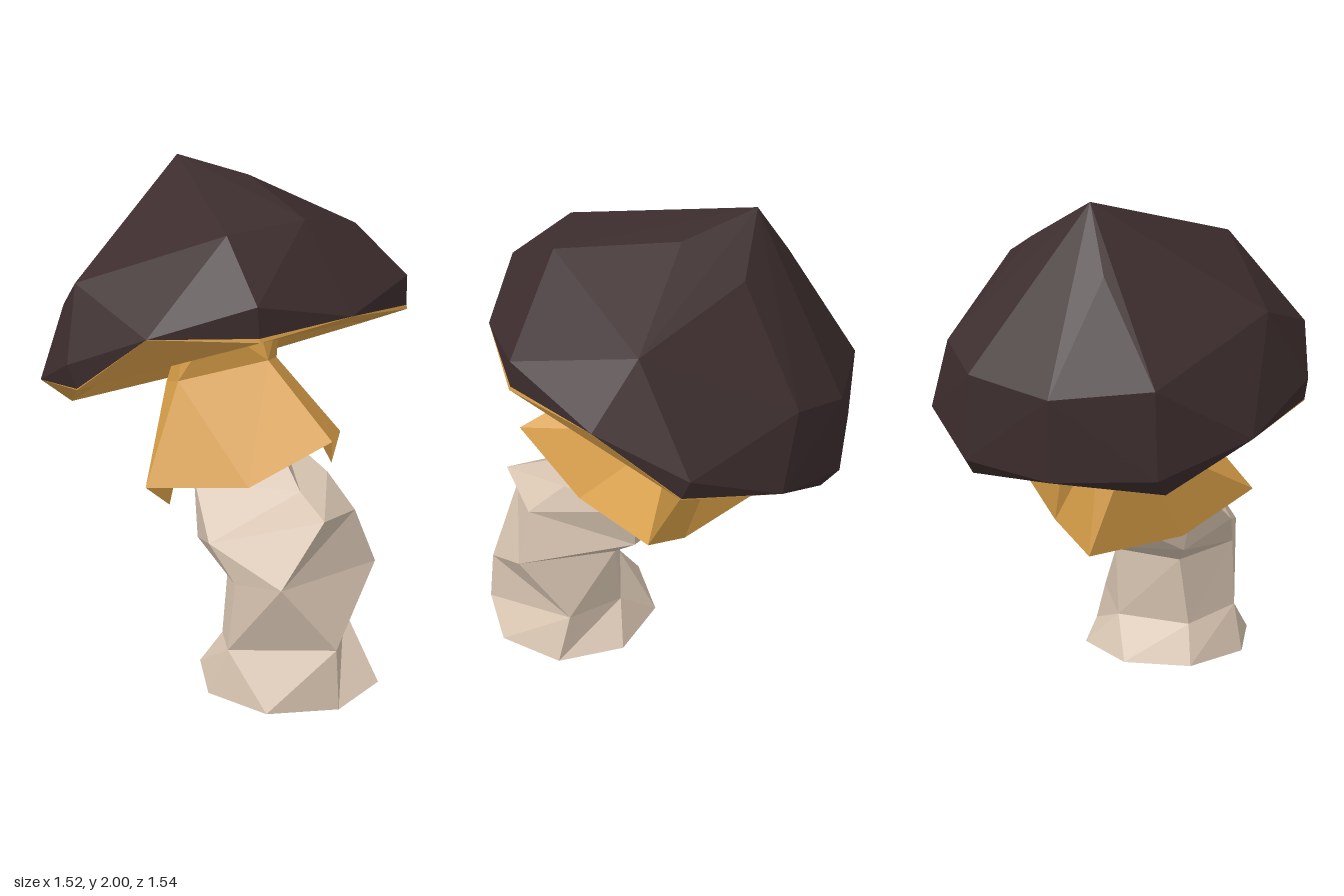
import * as THREE from 'three';
import { ConvexGeometry } from 'three/addons/geometries/ConvexGeometry.js';

const capBrown = new THREE.MeshStandardMaterial({ color: 0x3c2c2d, flatShading: true });
capBrown.name = 'cap brown';
const gillGold = new THREE.MeshStandardMaterial({ color: 0xd69d47, flatShading: true, side: THREE.DoubleSide });
gillGold.name = 'gill gold';
const stemBeige = new THREE.MeshStandardMaterial({ color: 0xd5c2af, flatShading: true, side: THREE.DoubleSide });
stemBeige.name = 'stem beige';

function facetMesh(name, pos, material) {
  const geo = new THREE.BufferGeometry();
  geo.setAttribute('position', new THREE.Float32BufferAttribute(pos, 3));
  geo.computeVertexNormals();
  const mesh = new THREE.Mesh(geo, material);
  mesh.name = name;
  return mesh;
}

// Joins rings of points (of any count, listed from +x towards +z) into facets.
function loft(name, rings, material) {
  const pos = [];
  const tri = (...corners) => {
    const [a, b, c] = corners.map((p) => new THREE.Vector3(...p));
    if (b.clone().sub(a).cross(c.clone().sub(a)).length() > 1e-6) corners.forEach((p) => pos.push(...p));
  };
  for (let r = 0; r + 1 < rings.length; r++) {
    const a = rings[r], b = rings[r + 1];
    const na = a.length > 1 ? a.length : 0, nb = b.length > 1 ? b.length : 0;
    let i = 0, j = 0;
    while (i < na || j < nb) {
      const pa = a[i % a.length], pb = b[j % b.length];
      const stepA = i < na && (j >= nb || (i + 1) / na <= (j + 1) / nb);
      if (stepA) tri(pa, pb, a[++i % a.length]);
      else tri(pa, pb, b[++j % b.length]);
    }
  }
  return facetMesh(name, pos, material);
}

// Convex shell over the points, left open where a face uses only rim points.
function openShell(name, points, rim, material) {
  const hull = new ConvexGeometry([...points, ...rim].map((p) => new THREE.Vector3(...p)));
  const src = hull.getAttribute('position').array;
  const key = (p) => Array.from(p, (v) => Math.round(v * 1000)).join();
  const rimKeys = new Set(rim.map(key));
  const pos = [];
  for (let f = 0; f < src.length; f += 9) {
    const onRim = [0, 3, 6].every((k) => rimKeys.has(key(src.slice(f + k, f + k + 3))));
    if (!onRim) pos.push(...src.slice(f, f + 9));
  }
  return facetMesh(name, pos, material);
}

// Elliptical ring whose +x side is raised by rise and -x side lowered by it.
function ring(n, [cx, cy, cz], rx, rz, rise = 0, offset = 0) {
  return Array.from({ length: n }, (_, i) => {
    const t = offset + (i / n) * Math.PI * 2;
    return [cx + rx * Math.cos(t), cy + rise * Math.cos(t), cz + rz * Math.sin(t)];
  });
}

// Completes a half ring running from +x to -x by mirroring it in z.
const mirrored = (half) => [...half, ...half.slice(1, -1).reverse().map(([x, y, z]) => [x, y, -z])];

export function createModel() {
  const model = new THREE.Group();
  model.name = 'mushroom';

  // Cap: zigzag rim, widest points, uneven shoulder and off-centre peak
  const rim = mirrored([
    [0.66, 1.53, 0], [0.575, 1.495, 0.375], [0.285, 1.48, 0.66], [-0.03, 1.24, 0.75],
    [-0.41, 1.17, 0.66], [-0.6, 0.98, 0.39], [-0.765, 1.03, 0],
  ]);
  const dome = [
    [0.57, 1.61, 0.38], [0.57, 1.61, -0.38], [-0.06, 1.33, 0.77], [-0.06, 1.33, -0.77],
    [-0.66, 1.38, 0.37], [-0.66, 1.38, -0.37], [-0.67, 1.05, 0.385], [-0.67, 1.05, -0.385], [-0.77, 1.34, 0],
    [0.4, 1.85, 0], [0.33, 1.82, 0.32], [-0.18, 1.6, 0.64], [-0.5, 1.75, 0.11],
    [-0.47, 1.46, -0.55], [0.11, 1.72, -0.55], [-0.29, 1.85, -0.27], [-0.07, 1.94, -0.13], [-0.36, 2, 0],
  ];
  model.add(openShell('cap', dome, rim, capBrown));

  // Gills: hollow underside ending just under every second rim point
  const rimFromOdd = [...rim.slice(1), rim[0]];
  const gillEdge = mirrored([[0.58, 1.48, 0.375], [-0.03, 1.235, 0.75], [-0.59, 0.98, 0.39]])
    .slice(0, 3).concat([[-0.59, 0.98, -0.39], [-0.03, 1.235, -0.75], [0.58, 1.48, -0.375]]);
  const gillInner = ring(6, [-0.05, 1.33, 0], 0.43, 0.5, 0.14);
  model.add(loft('gills', [[[-0.08, 1.42, 0]], gillInner, gillEdge, rimFromOdd], gillGold));

  // Skirt: flared collar with a pointed hem
  const hem = mirrored([
    [0.57, 1.02, 0], [0.34, 0.82, 0.22], [0.08, 0.82, 0.52], [-0.08, 0.64, 0.28], [-0.39, 0.62, 0],
  ]);
  const collar = mirrored([[0.2, 1.26, 0], [-0.04, 1.17, 0.26], [-0.27, 1.09, 0.14], [-0.28, 1.08, 0]]);
  const neck = mirrored([[0.12, 1.44, 0], [0.08, 1.41, 0.17], [-0.04, 1.33, 0.23], [-0.19, 1.32, 0.12], [-0.22, 1.3, 0]]);
  model.add(loft('skirt', [hem, collar, neck], gillGold));

  // Stem: bent column of uneven rings, open at the foot and domed under the skirt
  model.add(loft('stem', [
    ring(8, [0.39, 0, 0.05], 0.37, 0.37, 0, 0.175),
    [[0.73, 0.24, 0.11], [0.38, 0.19, 0.36], [0.18, 0.15, 0.22], [0.18, 0.15, -0.1], [0.4, 0.19, -0.25]],
    [[0.61, 0.5, 0.29], [0.4, 0.47, 0.34], [0.17, 0.44, 0.18], [0.2, 0.44, -0.12], [0.6, 0.48, -0.22]],
    [[0.64, 0.74, 0.1], [0.28, 0.61, 0.37], [0.05, 0.53, 0.24], [-0.08, 0.56, 0.02], [0.12, 0.56, -0.22], [0.55, 0.7, -0.15]],
    [[0.46, 0.8, 0.06], [0.08, 0.8, 0.28], [-0.1, 0.64, 0.12], [-0.1, 0.66, -0.1], [0.12, 0.76, -0.25], [0.4, 0.82, -0.14]],
    [[0.32, 0.93, 0.04], [0.1, 0.92, 0.15], [-0.05, 0.86, 0], [0.12, 0.92, -0.14]],
    [[0.12, 0.98, 0]],
  ], stemBeige));

  return model;
}
